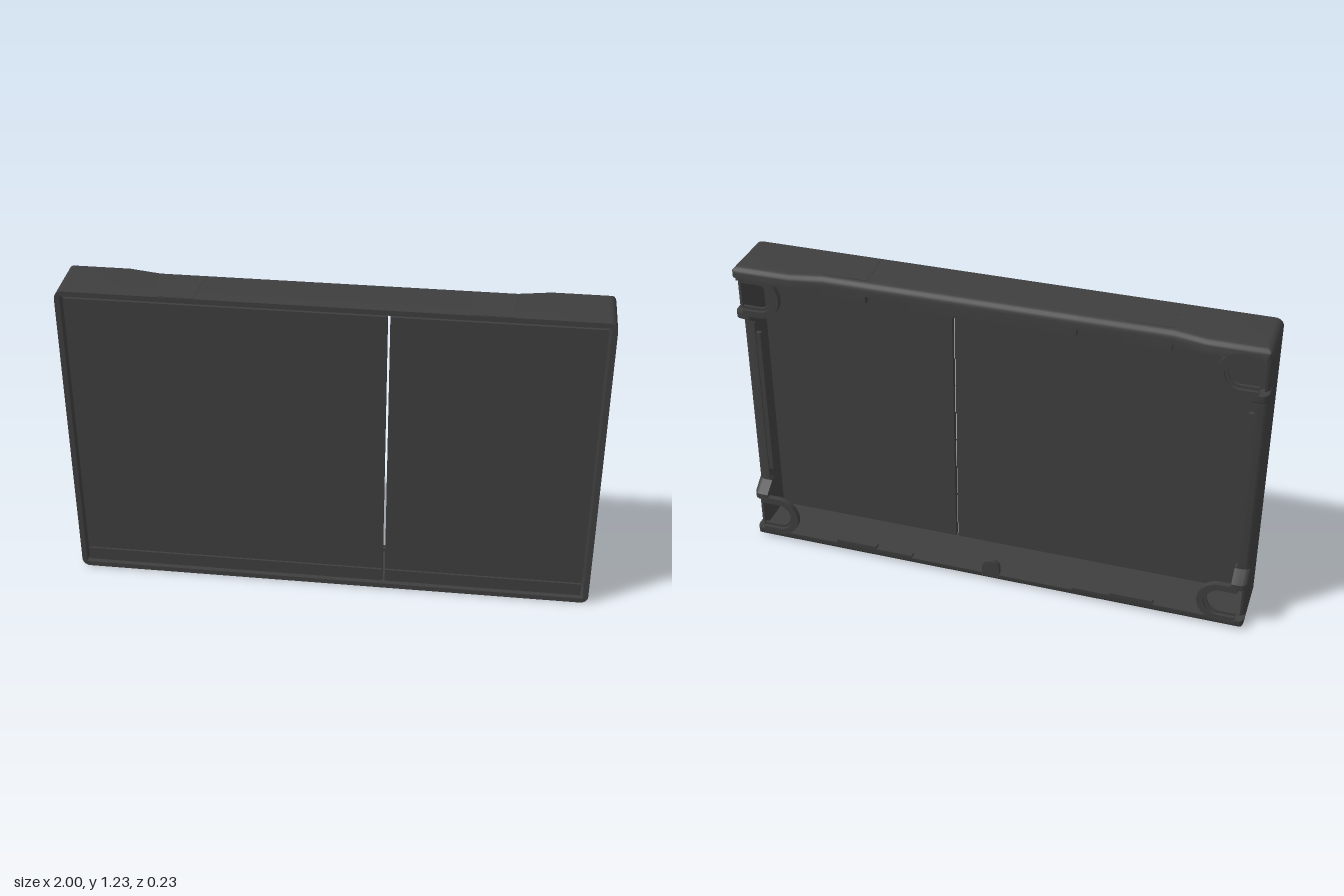
import * as THREE from 'three';
import { toCreasedNormals } from 'three/addons/utils/BufferGeometryUtils.js';

const H = 1.23, FRONT = 0.115, BACK = -0.115, WALL = 0.02, CORNER = 0.03;

// Each entry: [position, depth of the back edge, width of the inward lip]
const sideHalf = [ // measured from the nearer end of the side wall
  [0.03, BACK, 0.02], [0.04, BACK, 0.02], [0.041, -0.08, 0.02], [0.185, -0.08, 0.02],
  [0.186, BACK, 0.06], [0.21, BACK, 0.06], [0.247, -0.06, 0.06], [0.26, -0.06, 0.05],
];
const topHalf = [ // measured from the middle
  [0.97, BACK, 0.05], [0.77, BACK, 0.05], [0.65, -0.09, 0.05], [0.649, -0.09, 0.08],
  [0.48, -0.09, 0.08], [0.479, -0.09, 0.05], [0.31, -0.09, 0.05], [0.309, -0.09, 0.08],
];
const bottomHalf = [
  [0.97, BACK, 0.04], [0.65, BACK, 0.04], [0.649, BACK, 0.055], [0.48, BACK, 0.055],
  [0.479, BACK, 0.045], [0.33, BACK, 0.045], [0.329, BACK, 0.035], [0.15, BACK, 0.035],
];

// Stations around the outline, counter-clockwise seen from the front
function outline() {
  const stations = [];
  const add = (x, y, zb, wx, wy) => stations.push({ x, y, zb, wx, wy });
  const corner = (sx, top, a0, wy) => {
    for (let i = 1; i < 6; i++) {
      const a = a0 + (i / 6) * Math.PI / 2;
      add(sx * (1 - CORNER) + CORNER * Math.cos(a), (top ? H - CORNER : CORNER) + CORNER * Math.sin(a), BACK, 0.02, wy);
    }
  };
  const rev = (list) => [...list].reverse();
  for (const [u, z, w] of sideHalf) add(1, u, z, w, 0.04);
  for (const [u, z, w] of rev(sideHalf)) add(1, H - u, z, w, 0.05);
  corner(1, true, 0, 0.05);
  for (const [u, z, w] of topHalf) add(u, H, z, 0.02, w);
  for (const [u, z, w] of rev(topHalf)) add(-u, H, z, 0.02, w);
  corner(-1, true, Math.PI / 2, 0.05);
  for (const [u, z, w] of sideHalf) add(-1, H - u, z, w, 0.05);
  for (const [u, z, w] of rev(sideHalf)) add(-1, u, z, w, 0.04);
  corner(-1, false, Math.PI, 0.04);
  for (const [u, z, w] of bottomHalf) add(-u, 0, z, 0.02, w);
  for (const [u, z, w] of rev(bottomHalf)) add(u, 0, z, 0.02, w);
  corner(1, false, Math.PI * 1.5, 0.04);
  return stations;
}

// Hollow wall with a rounded back edge and an inward lip
function frameGeometry() {
  const pos = [], index = [], stations = outline(), ARC = 5, R = 0.03;
  let n = 0;
  for (const s of stations) {
    const ring = [];
    const put = (dx, dy, z) => ring.push(
      THREE.MathUtils.clamp(s.x, dx - 1, 1 - dx), THREE.MathUtils.clamp(s.y, dy, H - dy), z);
    put(WALL, WALL, FRONT);
    put(0, 0, FRONT);
    for (let i = 0; i <= ARC; i++) {
      const a = (i / ARC) * Math.PI / 2, d = 1 - Math.cos(a);
      put(Math.min(R, s.wx) * d, Math.min(R, s.wy) * d, s.zb + R * (1 - Math.sin(a)));
    }
    put(s.wx, s.wy, s.zb);
    put(s.wx, s.wy, s.zb + 0.025);
    put(WALL, WALL, s.zb + 0.025);
    n = ring.length / 3;
    pos.push(...ring);
  }
  const m = stations.length;
  for (let i = 0; i < m; i++) {
    for (let j = 0; j < n; j++) {
      const i2 = (i + 1) % m, j2 = (j + 1) % n;
      const a = i * n + j, b = i2 * n + j, c = i2 * n + j2, d = i * n + j2;
      index.push(a, d, c, a, c, b);
    }
  }
  const g = new THREE.BufferGeometry();
  g.setAttribute('position', new THREE.Float32BufferAttribute(pos, 3));
  g.setIndex(index);
  return toCreasedNormals(g, 0.6);
}

// U-shaped rim, open toward +x
function hookGeometry(outer, inner, depth) {
  const s = new THREE.Shape(), leg = 0.065;
  s.moveTo(leg, outer);
  s.lineTo(0, outer);
  s.absarc(0, 0, outer, Math.PI / 2, Math.PI * 1.5, false);
  s.lineTo(leg, -outer);
  s.lineTo(leg, -inner);
  s.lineTo(0, -inner);
  s.absarc(0, 0, inner, Math.PI * 1.5, Math.PI / 2, true);
  s.lineTo(leg, inner);
  s.closePath();
  return new THREE.ExtrudeGeometry(s, { depth, bevelEnabled: false, curveSegments: 16 });
}

export function createModel() {
  const model = new THREE.Group();
  const charcoal = new THREE.MeshStandardMaterial({ color: 0x3e3e3e });
  charcoal.name = 'charcoal';

  const add = (name, geometry, x = 0, y = 0, z = 0) => {
    const mesh = new THREE.Mesh(geometry, charcoal);
    mesh.name = name;
    mesh.position.set(x, y, z);
    model.add(mesh);
    return mesh;
  };
  const box = (name, x0, x1, y0, y1, z0, z1) => add(name,
    new THREE.BoxGeometry(x1 - x0, y1 - y0, z1 - z0), (x0 + x1) / 2, (y0 + y1) / 2, (z0 + z1) / 2);

  add('frame', frameGeometry());

  // Two front panels with a narrow gap and a grooved strip along the bottom
  for (const [name, x0, x1] of [['widePanel', -0.97, 0.2], ['narrowPanel', 0.21, 0.97]]) {
    box(name + 'Backing', x0, x1, 0.03, 1.2, 0.085, 0.1);
    box(name + 'Face', x0, x1, 0.09, 1.2, 0.1, 0.108);
    box(name + 'LowerStrip', x0, x1, 0.03, 0.083, 0.1, 0.108);
  }

  // Rims at the four back corners
  const hook = hookGeometry(0.085, 0.06, 0.022);
  const hookStep = hookGeometry(0.062, 0.048, 0.01);
  for (const side of [1, -1]) {
    for (const y of [0.112, H - 0.112]) {
      for (const [name, g, z] of [['cornerHook', hook, BACK], ['cornerHookStep', hookStep, -0.103]]) {
        add(name, g, side * 0.9, y, z).rotation.z = side > 0 ? 0 : Math.PI;
      }
    }
    // Rail along the inside of each side lip
    box('sideRail', side * 0.942 - 0.01, side * 0.942 + 0.01, 0.3, 0.93, -0.055, -0.038);
  }

  // Tapered pads on the top and bottom edges
  const pad = new THREE.Shape([
    new THREE.Vector2(-0.085, -0.085), new THREE.Vector2(0.085, -0.085),
    new THREE.Vector2(0.073, 0.09), new THREE.Vector2(-0.073, 0.09),
  ]);
  const padGeometry = new THREE.ExtrudeGeometry(pad, { depth: 0.003, bevelEnabled: false });
  padGeometry.rotateX(Math.PI / 2);
  for (const x of [-0.565, 0.565]) {
    add('topPad', padGeometry, x, H + 0.0015, 0.022);
    add('bottomPad', padGeometry, x, 0.0015, 0.005);
  }

  // Rounded catch in the middle of the bottom lip
  const tab = new THREE.Shape();
  tab.moveTo(-0.035, 0.02);
  tab.lineTo(0.035, 0.02);
  tab.lineTo(0.035, 0.06);
  tab.absarc(0, 0.06, 0.035, 0, Math.PI, false);
  tab.closePath();
  add('bottomCatch', new THREE.ExtrudeGeometry(tab, { depth: 0.022, bevelEnabled: false }), 0, 0, BACK);

  return model;
}
